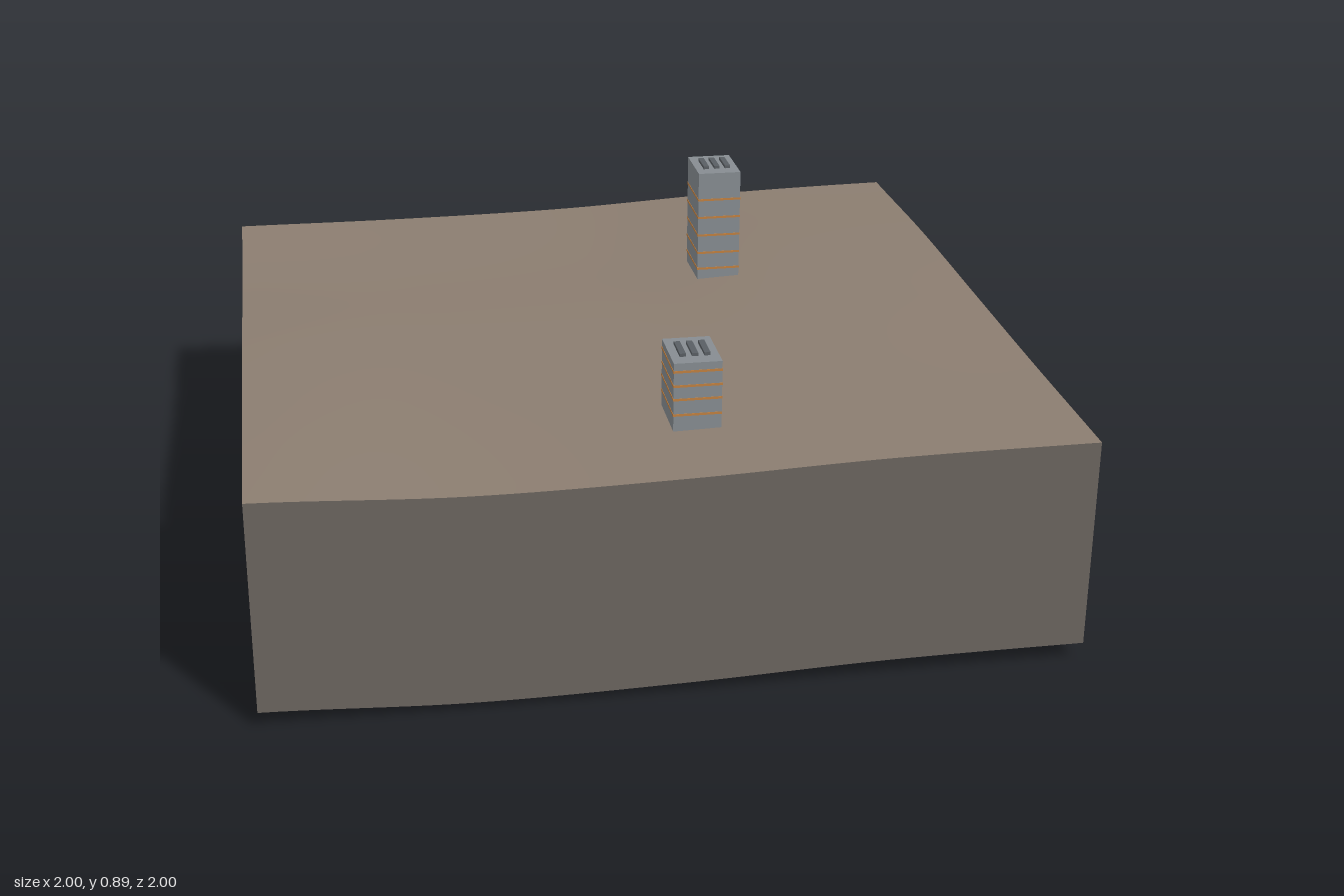
import * as THREE from 'three';

const THICK = 0.54; // height of the ground block walls

// Edge profiles of the block's lower rim, evenly spaced from -1 to 1
const profile = (ys) => {
  const curve = new THREE.SplineCurve(ys.map((y, i) => new THREE.Vector2(i, y)));
  return (v) => curve.getPoint((v + 1) / 2).y;
};
const frontEdge = profile([0.04, 0.019, 0.025, 0.042, 0.045]);
const backEdge = profile([0.005, 0.003, 0.01, 0.034, 0.045]);
const leftwardEdge = profile([0.045, 0.055, 0.05, 0.045, 0.045]); // x = +1
const rightwardEdge = profile([0.005, 0.0, 0.025, 0.037, 0.04]); // x = -1

// Height of the rim surface: blend of the four edges plus a soft swell
function rimHeight(x, z) {
  const { lerp } = THREE.MathUtils;
  const u = (x + 1) / 2, v = (z + 1) / 2;
  const acrossX = lerp(rightwardEdge(z), leftwardEdge(z), u);
  const acrossZ = lerp(backEdge(x), frontEdge(x), v);
  const corners = lerp(lerp(0.005, 0.045, u), lerp(0.04, 0.045, u), v);
  return acrossX + acrossZ - corners + 0.012 * (1 - x * x) * (1 - z * z) * (1 - u);
}

export function createModel() {
  const mat = (name, color, side = THREE.FrontSide) =>
    Object.assign(new THREE.MeshStandardMaterial({ color, side }), { name });
  const earth = mat('brown earth', 0x8b7d70, THREE.DoubleSide);
  const cutEarth = mat('dark cut earth', 0x6a645e, THREE.DoubleSide);
  const concrete = mat('grey concrete', 0x868c91);
  const vent = mat('dark vent', 0x595e63);
  const orange = mat('orange band', 0xc08040);

  const model = new THREE.Group();
  model.name = 'terrainWithTowers';
  const add = (parent, name, geometry, material, x = 0, y = 0, z = 0) => {
    const mesh = new THREE.Mesh(geometry, material);
    mesh.name = name;
    mesh.position.set(x, y, z);
    parent.add(mesh);
    return mesh;
  };

  // Rolling ground surface
  const ground = new THREE.PlaneGeometry(2, 2, 40, 40).rotateX(-Math.PI / 2);
  const gp = ground.attributes.position;
  for (let i = 0; i < gp.count; i++) gp.setY(i, rimHeight(gp.getX(i), gp.getZ(i)) + THICK);
  ground.computeVertexNormals();
  add(model, 'ground', ground, earth);

  // Four side walls following the ground, open underneath
  ['front', 'left', 'back', 'right'].forEach((side, k) => {
    const wall = new THREE.PlaneGeometry(2, THICK, 40, 1).translate(0, 0, 1).rotateY(k * Math.PI / 2);
    const p = wall.attributes.position;
    for (let i = 0; i < p.count; i++) {
      p.setY(i, rimHeight(p.getX(i), p.getZ(i)) + (p.getY(i) > 0 ? THICK : 0));
    }
    add(model, side + 'Wall', wall, cutEarth);
  });

  // Towers with orange floor bands and roof vents
  function tower(name, x, z, base, top, bands) {
    const group = new THREE.Group();
    group.name = name;
    group.position.set(x, 0, z);
    model.add(group);
    add(group, 'body', new THREE.BoxGeometry(0.118, top - base, 0.16), concrete, 0, (top + base) / 2, 0);
    for (const y of bands) {
      add(group, 'floorBand', new THREE.BoxGeometry(0.12, 0.006, 0.162), orange, 0, y, 0);
    }
    for (const dx of [-0.03, 0, 0.03]) {
      add(group, 'roofVent', new THREE.BoxGeometry(0.015, 0.008, 0.08), vent, dx, top + 0.004, 0);
    }
  }
  tower('tallTower', 0.333, -0.335, 0.565, 0.885, [0.605, 0.652, 0.704, 0.756, 0.808]);
  tower('shortTower', 0.08, 0.664, 0.562, 0.744, [0.61, 0.65, 0.685, 0.722]);

  return model;
}
